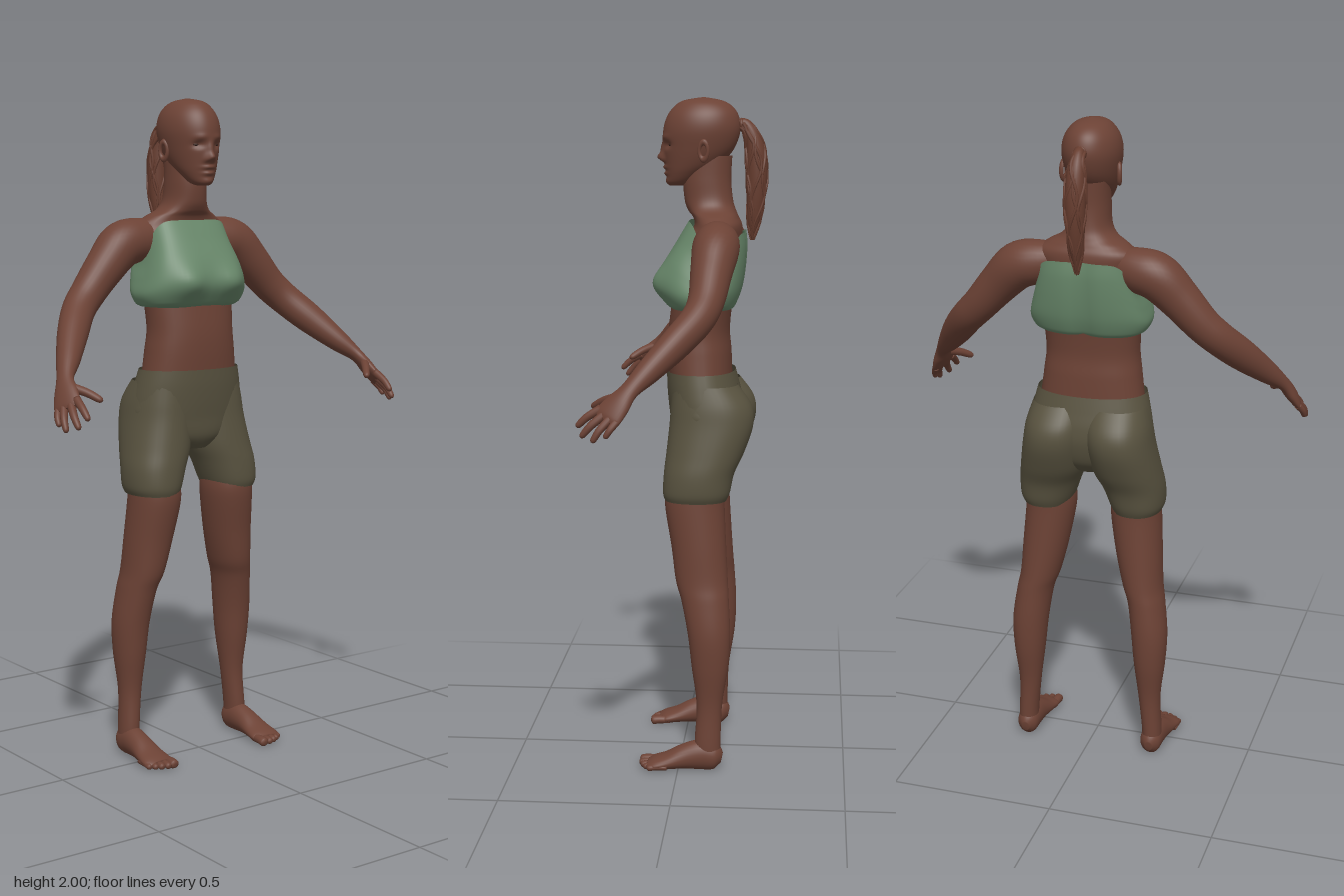
import * as THREE from 'three';

const mat = (name, color, side = THREE.FrontSide) => {
  const m = new THREE.MeshStandardMaterial({ color, side });
  m.name = name;
  return m;
};

// Smooth interpolation through rows of numbers
function sample(rows, t) {
  const f = t * (rows.length - 1);
  const i = Math.min(Math.floor(f), rows.length - 2);
  const u = f - i;
  const at = k => rows[Math.max(0, Math.min(rows.length - 1, k))];
  return rows[0].map((_, c) => {
    const [a, b, d, e] = [at(i - 1)[c], at(i)[c], at(i + 1)[c], at(i + 2)[c]];
    return b + 0.5 * u * (d - a + u * (2 * a - 5 * b + 4 * d - e + u * (3 * (b - d) + e - a)));
  });
}

// Joins rings of points into one smooth surface
function skinRings(rings, capped) {
  if (capped) {
    const middle = ring => {
      const c = new THREE.Vector3();
      ring.forEach(p => c.addScaledVector(p, 1 / ring.length));
      return ring.map(() => c.clone());
    };
    rings = [middle(rings[0]), ...rings, middle(rings[rings.length - 1])];
  }
  const n = rings[0].length, index = [];
  for (let i = 0; i < rings.length - 1; i++) {
    for (let j = 0; j < n; j++) {
      const k = (j + 1) % n, a = i * n, b = a + n;
      index.push(a + j, b + j, a + k, b + j, b + k, a + k);
    }
  }
  const g = new THREE.BufferGeometry().setFromPoints(rings.flat());
  g.setIndex(index);
  g.computeVertexNormals();
  return g;
}

// Level rings from bottom to top; rows are [y, centre x, half width, front z, back z]
function loft(rows, { steps = 32, seg = 40, power = 2, capped = false, warp } = {}) {
  const rings = [];
  const soft = v => Math.sign(v) * Math.abs(v) ** (2 / power);
  for (let i = 0; i <= steps; i++) {
    const [y, cx, rx, zf, zb] = sample(rows, i / steps);
    rings.push(Array.from({ length: seg }, (_, j) => {
      const a = j / seg * Math.PI * 2, c = Math.cos(a), s = Math.sin(a);
      const p = new THREE.Vector3(cx + rx * soft(c), y, (zf + zb) / 2 + (zf - zb) / 2 * soft(s));
      if (warp) warp(p, c, s, i / steps);
      return p;
    }));
  }
  return skinRings(rings, capped);
}

// Rings square to a path; rows are [x, y, z, radius along ref, other radius]
function limb(rows, ref, { steps = 32, seg = 20 } = {}) {
  const rings = [];
  const pos = t => new THREE.Vector3(...sample(rows, t).slice(0, 3));
  for (let i = 0; i <= steps; i++) {
    const t = i / steps, row = sample(rows, t), p = pos(t);
    const dir = pos(Math.min(1, t + 0.01)).sub(pos(Math.max(0, t - 0.01))).normalize();
    const n1 = ref.clone().addScaledVector(dir, -ref.dot(dir)).normalize();
    const n2 = n1.clone().cross(dir);
    rings.push(Array.from({ length: seg }, (_, j) => {
      const a = j / seg * Math.PI * 2;
      const q = p.clone().addScaledVector(n1, row[3] * Math.cos(a)).addScaledVector(n2, row[4] * Math.sin(a));
      q.y = Math.max(0, q.y);
      return q;
    }));
  }
  return skinRings(rings, true);
}

export function createModel() {
  const model = new THREE.Group();
  model.name = 'figure';
  const skin = mat('skin', 0x6c4235, THREE.DoubleSide);
  const hair = mat('hair', 0x673d2f);
  const green = mat('green cloth', 0x678669, THREE.DoubleSide);
  const olive = mat('olive cloth', 0x58523f, THREE.DoubleSide);
  const dark = mat('eye', 0x3a231c);
  const add = (name, geometry, material) => {
    const m = new THREE.Mesh(geometry, material);
    m.name = name;
    model.add(m);
    return m;
  };
  const bell = (d, s) => Math.exp(-((d / s) ** 2));

  // Head, with facial features as soft bumps [x, y, height, width, height spread]
  const bumps = [
    [0, 1.825, 0.02, 0.014, 0.013], [0, 1.85, 0.009, 0.01, 0.02],
    [0, 1.796, 0.008, 0.021, 0.006], [0, 1.778, 0.008, 0.019, 0.006], [0, 1.755, 0.005, 0.02, 0.01],
    [0.034, 1.862, -0.012, 0.016, 0.01], [-0.034, 1.862, -0.012, 0.016, 0.01],
    [0.03, 1.884, 0.004, 0.02, 0.008], [-0.03, 1.884, 0.004, 0.02, 0.008],
    [0.014, 1.818, 0.005, 0.007, 0.007], [-0.014, 1.818, 0.005, 0.007, 0.007],
  ];
  add('head', loft([
    [1.742, 0, 0.012, 0.04, 0], [1.752, 0, 0.034, 0.047, -0.03], [1.78, 0, 0.053, 0.05, -0.07],
    [1.81, 0, 0.066, 0.054, -0.115], [1.85, 0, 0.077, 0.058, -0.15], [1.9, 0, 0.085, 0.06, -0.168],
    [1.94, 0, 0.08, 0.05, -0.165], [1.97, 0, 0.064, 0.03, -0.148], [1.99, 0, 0.04, 0, -0.115],
    [2, 0, 0.001, -0.059, -0.061],
  ], {
    steps: 80, seg: 88, capped: true,
    warp: (p, c, s) => {
      if (s > 0) for (const [x, y, h, sx, sy] of bumps) p.z += h * s * bell(p.x - x, sx) * bell(p.y - y, sy);
    },
  }), skin);

  // Neck and upper chest
  add('neckAndChest', loft([
    [1.46, 0, 0.14, 0.01, -0.165], [1.58, 0, 0.15, -0.01, -0.175], [1.625, 0, 0.15, -0.033, -0.175],
    [1.65, 0, 0.12, -0.03, -0.165], [1.67, 0, 0.082, -0.015, -0.157], [1.7, 0, 0.062, -0.004, -0.148],
    [1.76, 0, 0.057, 0, -0.142], [1.83, 0, 0.055, -0.01, -0.145],
  ], { power: 2.2, steps: 48 }), skin);

  // Waist
  add('waist', loft([
    [1.17, 0, 0.158, 0.04, -0.148], [1.25, 0, 0.148, 0.045, -0.145],
    [1.32, 0, 0.141, 0.043, -0.14], [1.42, 0, 0.148, 0.03, -0.15],
  ], { power: 2.3 }), skin);

  // Cropped top: straight front edge, lower back, scooped under the arms
  add('croppedTop', loft([
    [1.383, 0, 0.15, 0.028, -0.152], [1.4, 0, 0.168, 0.045, -0.163], [1.45, 0, 0.18, 0.06, -0.178],
    [1.52, 0, 0.17, 0.05, -0.188], [1.59, 0, 0.155, 0.012, -0.192], [1.64, 0, 0.15, -0.018, -0.188],
  ], {
    power: 2.7, steps: 40, seg: 72,
    warp: (p, c, s) => {
      if (s > 0) p.z += 0.032 * s * (bell(p.x - 0.08, 0.06) + bell(p.x + 0.08, 0.06)) * bell(p.y - 1.46, 0.05);
      else p.z += 0.012 * bell(p.x, 0.03);
      const drop = 0.4 * c ** 6 + (s < 0 ? 0.12 * Math.min(1, -s * 2) : 0);
      p.y = 1.383 + (p.y - 1.383) * (1 - drop);
    },
  }), green);

  // Shorts, upper part
  add('shortsHips', loft([
    [0.95, 0, 0.05, 0.005, -0.13], [0.99, 0, 0.14, 0.03, -0.165], [1.05, 0, 0.19, 0.037, -0.183],
    [1.1, 0, 0.187, 0.043, -0.182], [1.15, 0, 0.177, 0.047, -0.17], [1.195, 0, 0.166, 0.048, -0.158],
  ], { power: 2.2 }), olive);

  for (const s of [1, -1]) {
    const side = s > 0 ? 'left' : 'right';
    const flip = rows => rows.map(([x, ...rest]) => [x * s, ...rest]);
    const flipLoft = rows => rows.map(([y, x, ...rest]) => [y, x * s, ...rest]);

    // Eyes and ears
    const eye = add(side + 'Eye', new THREE.SphereGeometry(1, 16, 12), dark);
    eye.scale.set(0.013, 0.006, 0.012);
    eye.position.set(0.034 * s, 1.862, 0.029);
    const ear = add(side + 'Ear', new THREE.TorusGeometry(0.018, 0.007, 8, 20), skin);
    ear.scale.set(0.75, 1.4, 1);
    ear.rotation.y = s * 1.25;
    ear.position.set(0.082 * s, 1.845, -0.065);

    // Leg of the shorts, including the seat
    add(side + 'ShortsLeg', loft(flipLoft([
      [0.82, 0.142, 0.073, 0.044, -0.14], [0.845, 0.141, 0.083, 0.05, -0.15], [0.9, 0.131, 0.093, 0.048, -0.162],
      [0.96, 0.113, 0.101, 0.042, -0.19], [1.04, 0.099, 0.1, 0.034, -0.216], [1.1, 0.092, 0.097, 0.03, -0.21],
      [1.16, 0.085, 0.088, 0.025, -0.168],
    ]), { power: 2.2 }), olive);

    // Bare leg
    add(side + 'Leg', loft(flipLoft([
      [0.03, 0.205, 0.03, -0.058, -0.128], [0.08, 0.205, 0.03, -0.05, -0.128], [0.2, 0.197, 0.034, -0.055, -0.132],
      [0.32, 0.196, 0.048, -0.04, -0.15], [0.42, 0.193, 0.055, -0.028, -0.155], [0.52, 0.18, 0.056, -0.008, -0.15],
      [0.58, 0.165, 0.061, 0.01, -0.146], [0.68, 0.15, 0.07, 0.024, -0.14], [0.8, 0.136, 0.076, 0.044, -0.134],
      [0.86, 0.135, 0.072, 0.04, -0.135],
    ]), { steps: 56, power: 2.1 }), skin);

    // Foot and toes
    const across = new THREE.Vector3(1, 0, 0);
    add(side + 'Foot', limb(flip([
      [0.205, 0.036, -0.132, 0.012, 0.016], [0.205, 0.04, -0.112, 0.031, 0.04], [0.205, 0.045, -0.07, 0.035, 0.046],
      [0.206, 0.038, -0.02, 0.038, 0.038], [0.207, 0.025, 0.03, 0.045, 0.025], [0.207, 0.017, 0.07, 0.049, 0.018],
      [0.206, 0.014, 0.09, 0.038, 0.011],
    ]), across, { seg: 28 }), skin);
    [[0.173, 0.118, 0.015], [0.195, 0.119, 0.011], [0.214, 0.113, 0.011], [0.231, 0.104, 0.01], [0.246, 0.092, 0.01]]
      .forEach(([x, z, r], i) => add(`${side}Toe${i + 1}`, limb(flip([
        [x, 0.015, z - 0.06, r * 0.8, r * 0.8], [x, 0.015, z - 0.025, r, r * 0.9],
        [x, 0.012, z - 0.006, r, r * 0.9], [x, 0.011, z, r * 0.4, r * 0.4],
      ]), across, { steps: 10, seg: 12 }), skin));

    // Arm running into the palm
    const spread = new THREE.Vector3(-0.5 * s, 0.47, 0.71);
    add(side + 'Arm', limb(flip([
      [0.08, 1.592, -0.1, 0.045, 0.05], [0.15, 1.582, -0.108, 0.064, 0.066], [0.21, 1.565, -0.108, 0.068, 0.069],
      [0.27, 1.507, -0.1, 0.06, 0.061], [0.335, 1.435, -0.09, 0.052, 0.053], [0.385, 1.385, -0.067, 0.048, 0.05],
      [0.44, 1.325, -0.012, 0.044, 0.047], [0.5, 1.256, 0.058, 0.035, 0.034], [0.54, 1.21, 0.105, 0.027, 0.02],
      [0.556, 1.175, 0.135, 0.038, 0.019], [0.568, 1.145, 0.16, 0.043, 0.015], [0.573, 1.132, 0.17, 0.036, 0.009],
    ]), spread, { steps: 72, seg: 28 }), skin);

    // Fingers and thumb: base, knuckle, tip, thickness
    const digits = [
      ['IndexFinger', [0.551, 1.161, 0.182], [0.555, 1.138, 0.22], [0.555, 1.11, 0.25], 0.011],
      ['MiddleFinger', [0.562, 1.15, 0.168], [0.575, 1.118, 0.207], [0.577, 1.085, 0.236], 0.011],
      ['RingFinger', [0.574, 1.14, 0.153], [0.592, 1.108, 0.182], [0.598, 1.075, 0.203], 0.0105],
      ['LittleFinger', [0.583, 1.13, 0.137], [0.595, 1.11, 0.153], [0.599, 1.087, 0.168], 0.0095],
      ['Thumb', [0.549, 1.192, 0.132], [0.517, 1.178, 0.175], [0.487, 1.155, 0.215], 0.0125],
    ];
    for (const [name, a, b, c, r] of digits) {
      const near = c.map((v, i) => v * 0.8 + b[i] * 0.2);
      add(side + name, limb(flip([[...a, r * 1.15, r * 1.15], [...b, r, r], [...near, r * 0.8, r * 0.8],
        [...c, r * 0.3, r * 0.3]]), spread, { steps: 14, seg: 12 }), skin);
    }
  }

  // Ponytail: a tapered core wrapped in wavy strands
  const sideways = new THREE.Vector3(1, 0, 0);
  const tail = [
    [0, 1.915, -0.15, 0.013, 0.015], [0, 1.922, -0.182, 0.016, 0.016], [0, 1.88, -0.207, 0.025, 0.024],
    [0, 1.81, -0.217, 0.03, 0.031], [0, 1.73, -0.217, 0.028, 0.029], [0, 1.65, -0.21, 0.018, 0.02],
    [0, 1.59, -0.205, 0.003, 0.003],
  ];
  add('ponytail', limb(tail, sideways, { steps: 40 }), hair);
  for (let i = 0; i < 12; i++) {
    const rows = [];
    for (let k = 0; k <= 12; k++) {
      const t = 0.14 + 0.84 * k / 12, [x, y, z, rx, rz] = sample(tail, t);
      const a = i / 12 * Math.PI * 2 + 0.5 * Math.sin(k * 0.9 + i * 2.1);
      const r = 0.006 * (1 - 0.6 * k / 12);
      rows.push([x + rx * Math.cos(a), y - 0.006 * (i % 3), z + rz * Math.sin(a), r, r]);
    }
    add('ponytailStrand' + (i + 1), limb(rows, sideways, { steps: 36, seg: 8 }), hair);
  }
  const tie = add('hairTie', new THREE.TorusGeometry(0.014, 0.006, 8, 20), hair);
  tie.position.set(0, 1.92, -0.172);

  return model;
}
